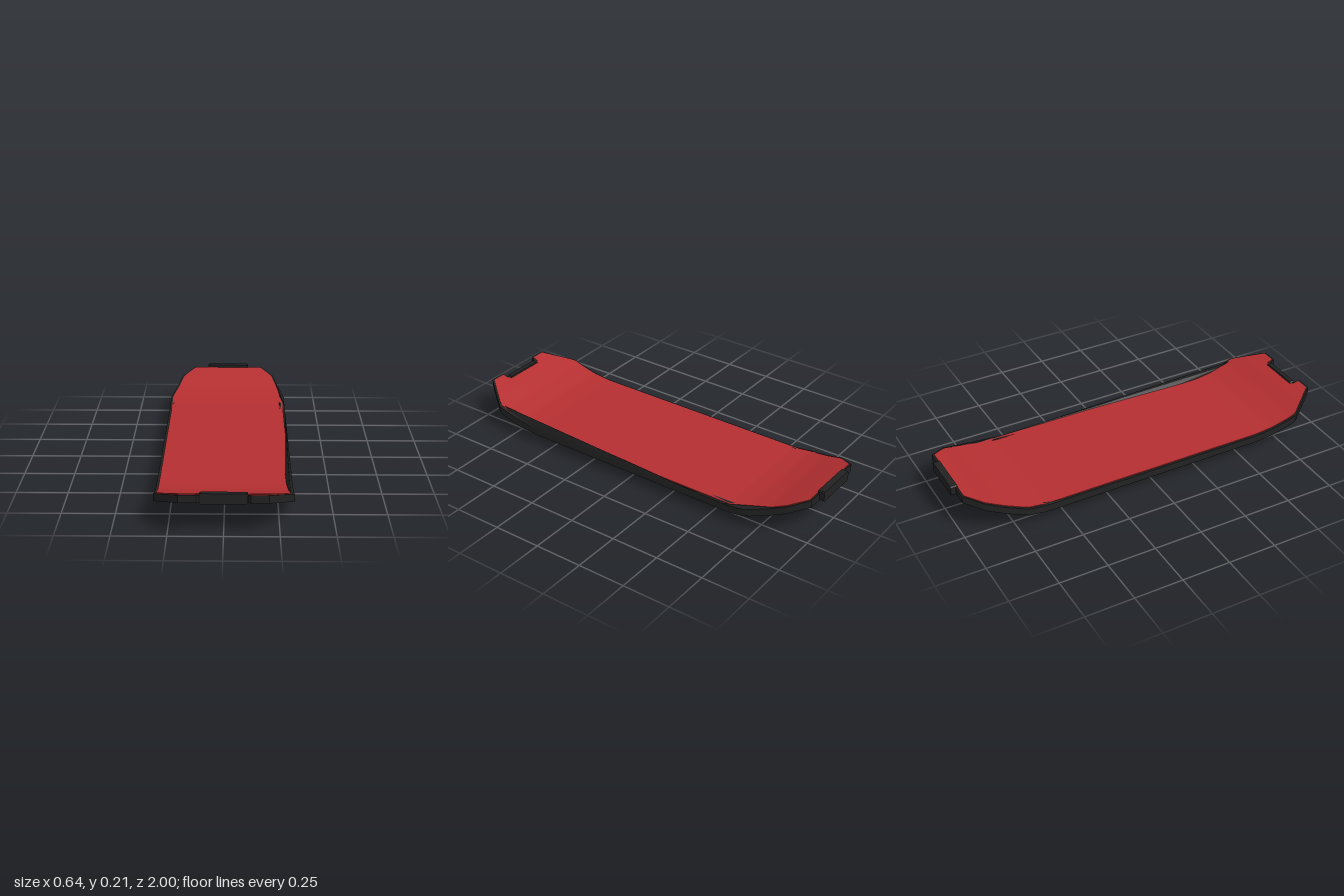
import * as THREE from 'three';
import { toCreasedNormals } from 'three/addons/utils/BufferGeometryUtils.js';

const RED = new THREE.MeshStandardMaterial({ color: 0xb52f31 });
const BLACK = new THREE.MeshStandardMaterial({ color: 0x222222 });
const BLACK_OPEN = new THREE.MeshStandardMaterial({ color: 0x222222, side: THREE.DoubleSide });

// Upward curve of nose and tail: [z, lift]
const LIFT = [[-1, 0.115], [-0.9, 0.08], [-0.8, 0.042], [-0.7, 0.014], [-0.6, 0],
  [0.6, 0], [0.7, 0.01], [0.8, 0.035], [0.9, 0.073], [1, 0.108]];
// Half width of the board: [z, x]
const WIDTH = [[-0.975, 0.19], [-0.89, 0.26], [-0.69, 0.318], [0.84, 0.318], [0.995, 0.2]];

function sample(table, z) {
  if (z <= table[0][0]) return table[0][1];
  for (let i = 1; i < table.length; i++) {
    const [z0, a] = table[i - 1], [z1, b] = table[i];
    if (z <= z1) return a + (b - a) * (z - z0) / (z1 - z0);
  }
  return table[table.length - 1][1];
}

function bend(geo) {
  const p = geo.attributes.position;
  for (let i = 0; i < p.count; i++) p.setY(i, p.getY(i) + sample(LIFT, p.getZ(i)));
  return toCreasedNormals(geo, 0.6);
}

// Closed point list, split so that it can follow the bend
function subdivide(points, step = 0.04) {
  const out = [];
  points.forEach(([x, z], i) => {
    const [x1, z1] = points[(i + 1) % points.length];
    const n = Math.max(1, Math.ceil(Math.abs(z1 - z) / step));
    for (let k = 0; k < n; k++) {
      out.push(new THREE.Vector2(x + (x1 - x) * k / n, z + (z1 - z) * k / n));
    }
  });
  return out;
}

const mirrored = pts => [...pts, ...pts.map(([x, z]) => [-x, z]).reverse()];

// Bent slab between the x limits left(z) and right(z)
function slab(z0, z1, left, right, y0, y1, segments) {
  const geo = new THREE.BoxGeometry(1, y1 - y0, z1 - z0, 1, 1, segments);
  geo.translate(0, (y0 + y1) / 2, (z0 + z1) / 2);
  const p = geo.attributes.position;
  for (let i = 0; i < p.count; i++) {
    const z = p.getZ(i);
    p.setX(i, p.getX(i) < 0 ? left(z) : right(z));
  }
  return bend(geo);
}

export function createModel() {
  const board = new THREE.Group();
  board.name = 'board';
  const add = (name, geo, mat) => {
    const mesh = new THREE.Mesh(geo, mat);
    mesh.name = name;
    board.add(mesh);
    return mesh;
  };
  const inner = z => sample(WIDTH, z) - 0.011;
  const pads = [0.477, -0.487];

  // Red deck and the two horns beside the front notch
  add('deck', slab(-0.965, 0.955, z => -inner(z), inner, 0.06, 0.092, 96), RED);
  for (const s of [-1, 1]) {
    const near = () => s * 0.122, far = z => s * inner(z);
    add('frontHorn', slab(0.955, 0.985, s < 0 ? far : near, s < 0 ? near : far, 0.06, 0.092, 2), RED);
  }

  // Black frame: outline with front notch, windows on the underside
  const outline = mirrored([[0.112, -0.975], ...WIDTH.map(([z, x]) => [x, z]),
    [0.12, 0.995], [0.108, 0.962]]);
  const shape = new THREE.Shape(subdivide(outline));
  const windows = [
    mirrored([[0.28, 0.745], [0.298, 0.765], [0.298, 0.835], [0.193, 0.972], [0.135, 0.972], [0.118, 0.942]]),
    mirrored([[0.28, -0.745], [0.285, -0.76], [0.245, -0.885], [0.182, -0.957]]),
  ];
  for (const s of [-1, 1]) {
    // Long middle windows
    windows.push([[0.03, -0.17], [0.08, -0.26], [0.16, -0.25], [0.27, -0.16],
      [0.27, 0.16], [0.16, 0.25], [0.08, 0.26], [0.03, 0.17]].map(([x, z]) => [s * x, z]));
    // Small windows around each pad
    for (const c of pads) {
      for (const d of [-1, 1]) {
        windows.push([[0.235, 0.045], [0.285, 0.035], [0.29, 0.17], [0.27, 0.205],
          [0.18, 0.215], [0.155, 0.18], [0.205, 0.115]].map(([x, z]) => [s * x, c + d * z]));
      }
    }
  }
  for (const w of windows) shape.holes.push(new THREE.Path(subdivide(w)));
  const frame = new THREE.ExtrudeGeometry(shape, { depth: 0.038, bevelEnabled: false });
  frame.rotateX(Math.PI / 2).translate(0, 0.088, 0);
  add('frame', bend(frame), BLACK);

  // Bumper tab on the tail, bumper plate in the front notch
  const bumper = (name, halfWidth, z0, z1, y0, y1) => {
    const b = 0.006;
    const s = new THREE.Shape(mirrored([[halfWidth - b, y0], [halfWidth, y0 + b],
      [halfWidth, y1 - b], [halfWidth - b, y1]]).map(p => new THREE.Vector2(...p)));
    const geo = new THREE.ExtrudeGeometry(s, { depth: z1 - z0, bevelEnabled: false });
    add(name, geo.translate(0, 0, z0), BLACK);
  };
  bumper('rearBumper', 0.115, -1, -0.966, 0.155, 0.207);
  bumper('frontBumper', 0.108, 0.944, 0.968, 0.14, 0.19);

  // Round hover pads with a dished centre, on a flat collar
  const profile = [[0, 0.016], [0.035, 0.018], [0.06, 0.024], [0.068, 0.034], [0.088, 0.034],
    [0.104, 0.022], [0.116, 0.006], [0.124, 0], [0.133, 0], [0.174, 0.048], [0.176, 0.056]]
    .map(p => new THREE.Vector2(...p));
  for (const z of pads) {
    const pad = toCreasedNormals(new THREE.LatheGeometry(profile, 48), 0.6);
    add('hoverPad', pad, BLACK_OPEN).position.z = z;
    const collar = new THREE.CylinderGeometry(0.222, 0.214, 0.012, 48, 1, true);
    add('padCollar', collar, BLACK_OPEN).position.set(0, 0.053, z);
    const face = new THREE.RingGeometry(0.165, 0.214, 48).rotateX(Math.PI / 2);
    add('padCollarFace', face, BLACK).position.set(0, 0.047, z);
  }
  return board;
}
